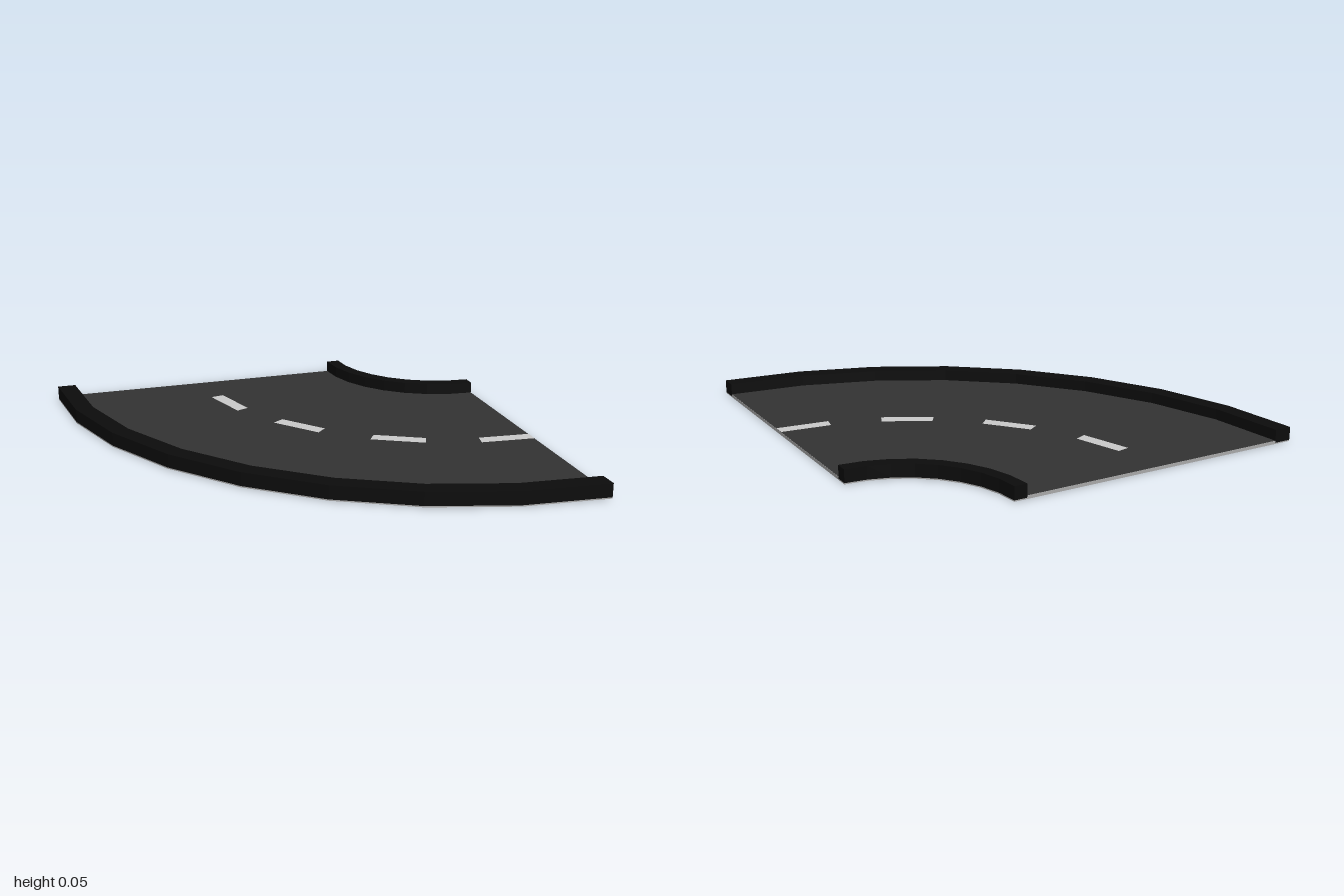
import * as THREE from 'three';

const CENTRE_Z = -0.839; // centre of the bend
const STEP = Math.PI / 4 / 4; // eight straight facets over a quarter turn

// Faceted ring sector, from facet i0 to i1 (0 points to the front, + to the right of the plan)
function sector(r0, r1, i0, i1) {
  const pts = [];
  const at = (r, i) => new THREE.Vector2(r * Math.sin(i * STEP), -r * Math.cos(i * STEP) - CENTRE_Z);
  for (let i = i0; i <= i1; i++) pts.push(at(r1, i));
  for (let i = i1; i >= i0; i--) pts.push(at(r0, i));
  return new THREE.Shape(pts);
}

export function createModel() {
  const group = new THREE.Group();
  const mat = (color) => new THREE.MeshStandardMaterial({ color, flatShading: true });
  const grey = mat(0xaaaaaa), asphalt = mat(0x333333), black = mat(0x0c0c0c), paint = mat(0xcccccc);

  function add(name, geometry, y, material) {
    const mesh = new THREE.Mesh(geometry.rotateX(-Math.PI / 2).translate(0, y, 0), material);
    mesh.name = name;
    group.add(mesh);
  }
  const solid = (name, r0, r1, y0, y1, material) =>
    add(name, new THREE.ExtrudeGeometry(sector(r0, r1, -4, 4), { depth: y1 - y0, bevelEnabled: false }), y0, material);
  const flat = (name, r0, r1, i0, i1, y, material) =>
    add(name, new THREE.ShapeGeometry(sector(r0, r1, i0, i1)), y, material);

  // Base slab, with the raised deck between the kerbs
  solid('baseSlab', 0.367, 1.414, 0, 0.004, grey);
  solid('deck', 0.41, 1.354, 0.004, 0.0105, grey);
  flat('roadSurface', 0.41, 1.354, -4, 4, 0.0112, asphalt);

  // Kerbs along both edges
  solid('innerKerb', 0.367, 0.41, 0.004, 0.048, black);
  solid('outerKerb', 1.354, 1.414, 0.004, 0.048, black);

  // Dashed centre line, every other facet
  for (let i = -3; i <= 3; i += 2) flat('laneDash', 0.873, 0.917, i, i + 1, 0.0125, paint);

  return group;
}
